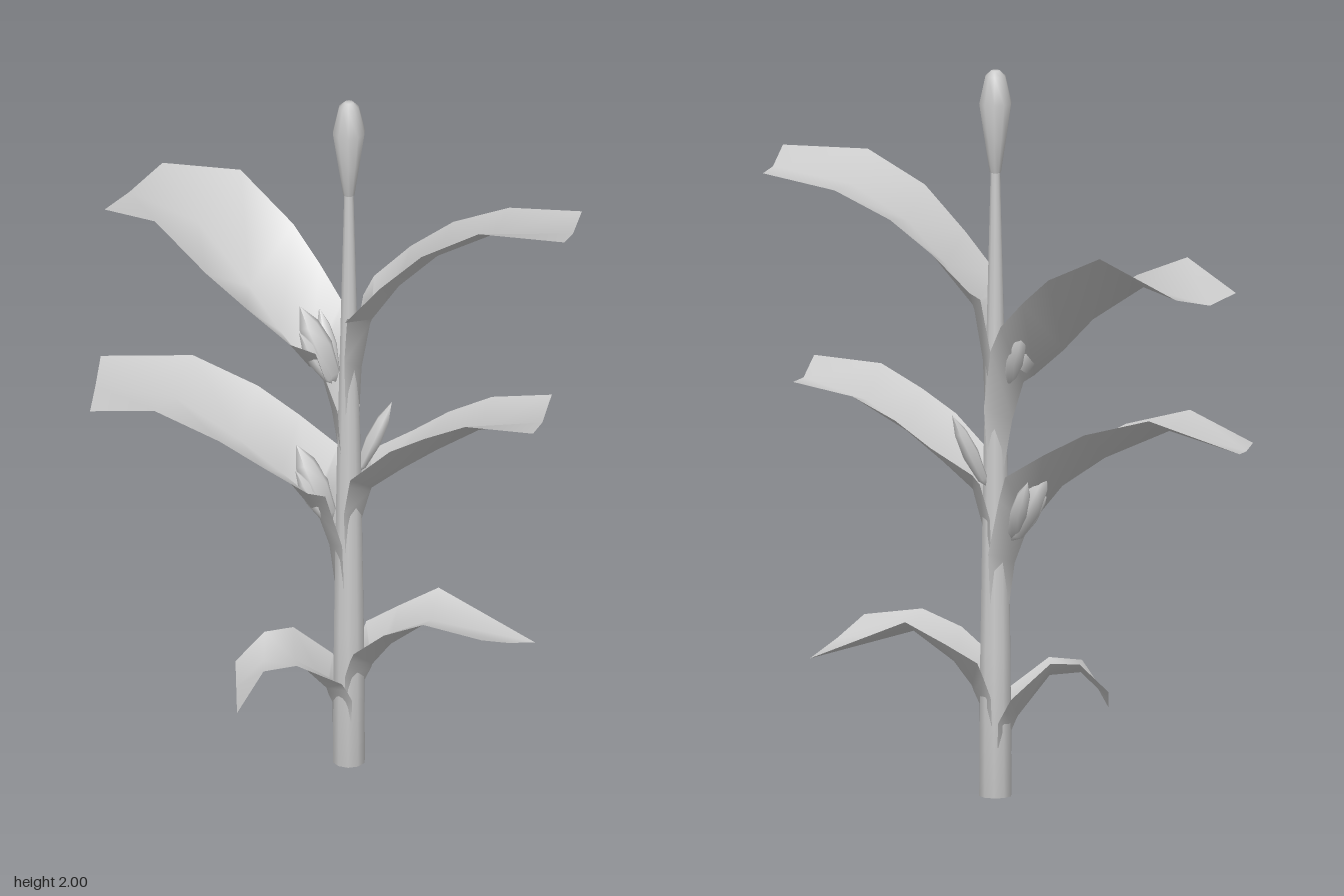
import * as THREE from 'three';

const X = 0.037, Z = 0.162; // stalk axis

const solid = new THREE.MeshStandardMaterial({ color: 0xcccccc });
const thin = new THREE.MeshStandardMaterial({ color: 0xcccccc, side: THREE.DoubleSide });

function lathe(name, profile, sides) {
  const points = profile.map(([r, y]) => new THREE.Vector2(r, y));
  const mesh = new THREE.Mesh(new THREE.LatheGeometry(points, sides), solid);
  mesh.name = name;
  return mesh;
}

// Folded leaf growing from the stalk along (dx, dz).
// Rows: [distance, sideways shift, half width, back edge y, midrib y, front edge y, skew, midrib push]
function leaf(name, dx, dz, sheathY, rows) {
  const len = Math.hypot(dx, dz);
  const ux = dx / len, uz = dz / len, s = Math.sign(dx);
  const [r0, , , backY, baseY, , , basePush] = rows[0];
  // sheath leaving the stalk and opening into the blade
  const midY = (sheathY + baseY) / 2;
  const hug = 0.047 - 0.018 * sheathY;
  const out = r0 + basePush;
  const edgeY = (backY + baseY) / 2;
  const all = [
    [0, 0, hug, sheathY, sheathY - 0.02, sheathY, 0, hug],
    [0, 0, hug + 0.015, midY + 0.03, midY, midY + 0.03, 0, Math.max(hug, out * 0.55)],
    [r0 * 0.6, 0, 0.075, edgeY, baseY - 0.015, edgeY, 0, out * 0.92 - r0 * 0.6],
    ...rows,
  ];
  const pos = [], index = [];
  all.forEach(([r, side, w, yBack, yMid, yFront, skew = 0, push = 0], i) => {
    [[-1, yBack, r - skew], [0, yMid, r + push], [1, yFront, r + skew]].forEach(([k, y, d]) => {
      const lateral = s * (side + w * k);
      pos.push(X + ux * d - uz * lateral, y, Z + uz * d + ux * lateral);
    });
    if (i === 0) return;
    for (let k = 0; k < 2; k++) {
      const a = (i - 1) * 3 + k, b = a + 3;
      if (s > 0) index.push(a, a + 1, b, a + 1, b + 1, b);
      else index.push(a, b, a + 1, a + 1, b, b + 1);
    }
  });
  const geometry = new THREE.BufferGeometry();
  geometry.setAttribute('position', new THREE.Float32BufferAttribute(pos, 3));
  geometry.setIndex(index);
  geometry.computeVertexNormals();
  const mesh = new THREE.Mesh(geometry, thin);
  mesh.name = name;
  return mesh;
}

// Pointed spindle between two points
function spindle(name, from, to, radius) {
  const a = new THREE.Vector3(...from), b = new THREE.Vector3(...to);
  const h = a.distanceTo(b);
  const mesh = lathe(name, [[0, 0], [radius * 0.6, h * 0.1], [radius, h * 0.45], [radius * 0.75, h * 0.75], [0, h]], 6);
  mesh.position.copy(a);
  mesh.quaternion.setFromUnitVectors(new THREE.Vector3(0, 1, 0), b.sub(a).normalize());
  return mesh;
}

// Ear with two husk points beside it
function ear(name, x, y, z) {
  const group = new THREE.Group();
  group.name = name;
  group.add(
    spindle('earCore', [x, y, z], [x - 0.1, y + 0.21, z - 0.035], 0.04),
    spindle('huskBack', [x, y + 0.01, z - 0.01], [x - 0.05, y + 0.18, z - 0.085], 0.026),
    spindle('huskFront', [x - 0.01, y, z + 0.01], [x - 0.1, y + 0.15, z + 0.005], 0.024),
  );
  return group;
}

export function createModel() {
  const model = new THREE.Group();
  model.name = 'plant';

  // Tapering stalk and flower head
  const stalk = lathe('stalk', [[0, 0], [0.045, 0], [0.042, 0.4], [0.034, 0.9], [0.024, 1.3], [0.013, 1.73]], 10);
  const head = lathe('flowerHead', [[0, 1.71], [0.016, 1.72], [0.03, 1.81], [0.045, 1.91], [0.028, 1.985], [0.012, 2], [0, 2]], 10);
  for (const part of [stalk, head]) {
    part.position.set(X, 0, Z);
    model.add(part);
  }

  // Leaves on the left side
  model.add(
    leaf('upperLeftLeaf', 0.97, 0.24, 1.05, [
      [0.03, 0, 0.135, 1.41, 1.35, 1.40, 0, 0.035],
      [0.13, -0.005, 0.142, 1.51, 1.46, 1.52, 0, 0.01],
      [0.25, 0, 0.15, 1.60, 1.57, 1.64],
      [0.41, 0, 0.143, 1.67, 1.66, 1.73],
      [0.633, 0, 0.123, 1.70, 1.695, 1.73, 0.012],
    ]),
    leaf('middleLeftLeaf', 0.97, 0.22, 0.64, [
      [0.035, 0.005, 0.105, 0.90, 0.84, 0.91, 0, 0.03],
      [0.15, 0.008, 0.118, 0.97, 0.91, 1.02],
      [0.25, 0.015, 0.125, 1.04, 0.985, 1.08],
      [0.37, 0.02, 0.133, 1.10, 1.065, 1.14],
      [0.55, 0.024, 0.137, 1.13, 1.115, 1.15, 0.012],
    ]),
    leaf('lowerLeftLeaf', 0.98, 0.14, 0.2, [
      [0.03, 0, 0.09, 0.38, 0.30, 0.37, 0, 0.035],
      [0.115, 0, 0.1, 0.43, 0.365, 0.44],
      [0.225, -0.005, 0.108, 0.49, 0.445, 0.485],
      [0.443, 0.02, 0.094, 0.37, 0.41, 0.46, -0.055],
    ]),
  );

  // Leaves on the right side
  model.add(
    leaf('upperRightLeaf', -0.776, -0.63, 0.92, [
      [0.089, 0.033, 0.128, 1.32, 1.17, 1.30, -0.02, 0.025],
      [0.2, 0.045, 0.15, 1.40, 1.25, 1.38, 0, 0.01],
      [0.316, 0.05, 0.166, 1.48, 1.35, 1.45, 0.01],
      [0.52, 0.033, 0.162, 1.57, 1.47, 1.53, 0.01],
      [0.774, 0.01, 0.137, 1.495, 1.46, 1.47, -0.018, 0.015],
    ]),
    leaf('middleRightLeaf', -0.954, -0.3, 0.53, [
      [0.067, 0.021, 0.118, 0.90, 0.76, 0.865, 0, 0.035],
      [0.18, 0.038, 0.138, 0.97, 0.86, 0.94],
      [0.30, 0.047, 0.15, 1.035, 0.945, 1.01],
      [0.491, 0.039, 0.15, 1.09, 1.035, 1.065],
      [0.732, -0.003, 0.136, 1.025, 1.005, 1.0, -0.035],
    ]),
    leaf('lowerRightLeaf', -0.98, 0.2, 0.14, [
      [0.03, -0.01, 0.083, 0.28, 0.22, 0.27, 0, 0.03],
      [0.15, 0.015, 0.095, 0.375, 0.325, 0.355, 0.01],
      [0.235, 0.018, 0.092, 0.37, 0.33, 0.345, 0.015],
      [0.31, 0.013, 0.08, 0.29, 0.255, 0.215, 0.01],
    ]),
  );

  // Ears tucked between stalk and leaves
  model.add(
    ear('upperEar', 0.0, 1.13, 0.125),
    ear('lowerEar', -0.01, 0.71, 0.125),
    spindle('smallHusk', [0.06, 0.86, 0.13], [0.15, 1.06, 0.1], 0.024),
  );
  return model;
}
